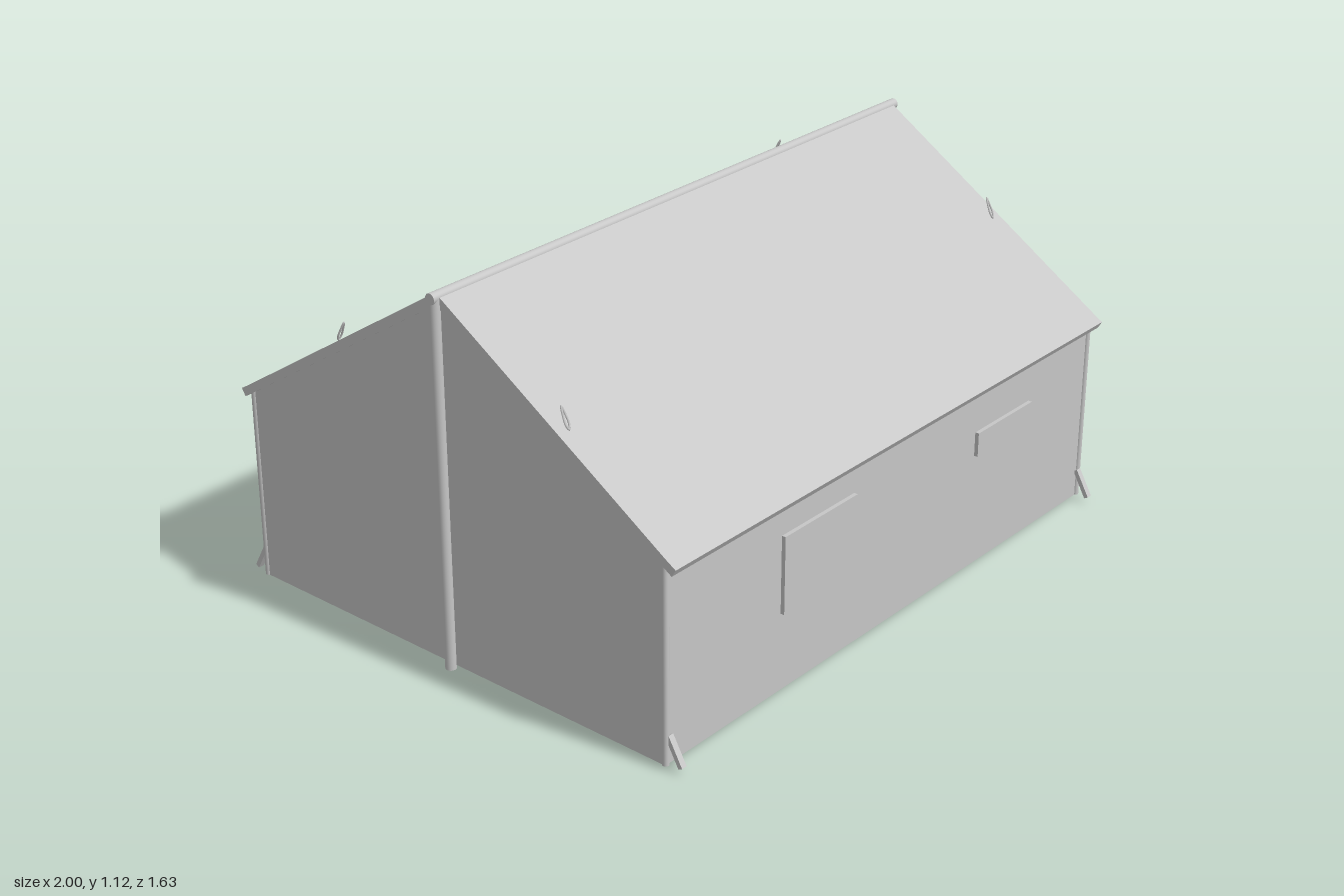
import * as THREE from 'three';

export function createModel() {
  const tent = new THREE.Group();
  tent.name = 'wallTent';
  const canvas = new THREE.MeshStandardMaterial({ color: 0xc6c6c6, side: THREE.DoubleSide });
  canvas.name = 'grey canvas';

  const add = (name, geometry, x = 0, y = 0, z = 0) => {
    const mesh = new THREE.Mesh(geometry, canvas);
    mesh.name = name;
    mesh.position.set(x, y, z);
    tent.add(mesh);
    return mesh;
  };
  const box = (name, w, h, d, x, y, z) => add(name, new THREE.BoxGeometry(w, h, d), x, y, z);
  const post = (name, r, y0, y1, x, z) =>
    add(name, new THREE.CylinderGeometry(r, r, y1 - y0, 20), x, (y0 + y1) / 2, z);
  const rail = (name, r, length, y, z) => {
    add(name, new THREE.CylinderGeometry(r, r, length, 20), 0, y, z).rotation.z = Math.PI / 2;
  };
  // Profile in the z-y plane, swept along x and centred on x
  const sweep = (name, points, depth, x) => {
    const shape = new THREE.Shape(points.map(([z, y]) => new THREE.Vector2(-z, y)));
    const g = new THREE.ExtrudeGeometry(shape, { depth, bevelEnabled: false });
    g.translate(0, 0, -depth / 2);
    g.rotateY(Math.PI / 2);
    return add(name, g, x);
  };

  // End walls with gables, centre posts
  for (const s of [-1, 1]) {
    sweep('gableWall', [[-0.76, 0.01], [0.76, 0.01], [0.76, 0.61], [0, 1.09], [-0.76, 0.61]], 0.012, s * 0.969);
    post('centrePost', 0.016, 0, 1.1, s * 0.984, 0);
  }

  // Side walls, roof slopes and eave hems
  for (const s of [-1, 1]) {
    box('sideWall', 1.95, 0.6, 0.012, 0, 0.31, s * 0.757);
    sweep('roofSlope', [[0, 1.112], [s * 0.77, 0.617], [s * 0.803, 0.597], [s * 0.79, 0.575], [s * 0.755, 0.597], [0, 1.078]], 1.96, 0);
  }
  rail('ridgePole', 0.016, 2, 1.1, 0);

  // Teardrop guy loop, drawn upright
  const loopPath = new THREE.CatmullRomCurve3([
    [0, 0.033], [0.005, 0.005], [0.006, -0.017], [0, -0.031], [-0.006, -0.017], [-0.005, 0.005],
  ].map(([x, y]) => new THREE.Vector3(x, y, 0)), true);
  const loopGeometry = new THREE.TubeGeometry(loopPath, 28, 0.003, 6, true);

  // Corner posts, ground tabs and guy loops
  for (const sx of [-1, 1]) {
    for (const sz of [-1, 1]) {
      post('cornerPost', 0.01, 0.01, 0.61, sx * 0.97, sz * 0.76);
      const tab = box('groundTab', 0.018, 0.092, 0.014, sx * 0.962, 0.057, sz * 0.787);
      tab.rotation.x = -sz * 0.51;
      const loop = add('guyLoop', loopGeometry, sx * 0.943, 0.873, sz * 0.41);
      loop.rotation.x = -sz * 0.43;
    }
  }

  // Door leaves with rolled flaps on the left end
  for (const s of [-1, 1]) {
    box('doorLeaf', 0.012, 0.705, 0.213, 0.979, 0.3625, s * 0.108);
    const roll = add('doorRoll', new THREE.CylinderGeometry(0.013, 0.013, 0.168, 16), 0.982, 0.694, s * 0.093);
    roll.rotation.x = Math.PI / 2;
  }

  // Window covers on the front wall
  box('largeWindow', 0.31, 0.232, 0.012, -0.395, 0.395, 0.802);
  box('smallWindow', 0.272, 0.074, 0.012, 0.469, 0.436, 0.802);

  return tent;
}
